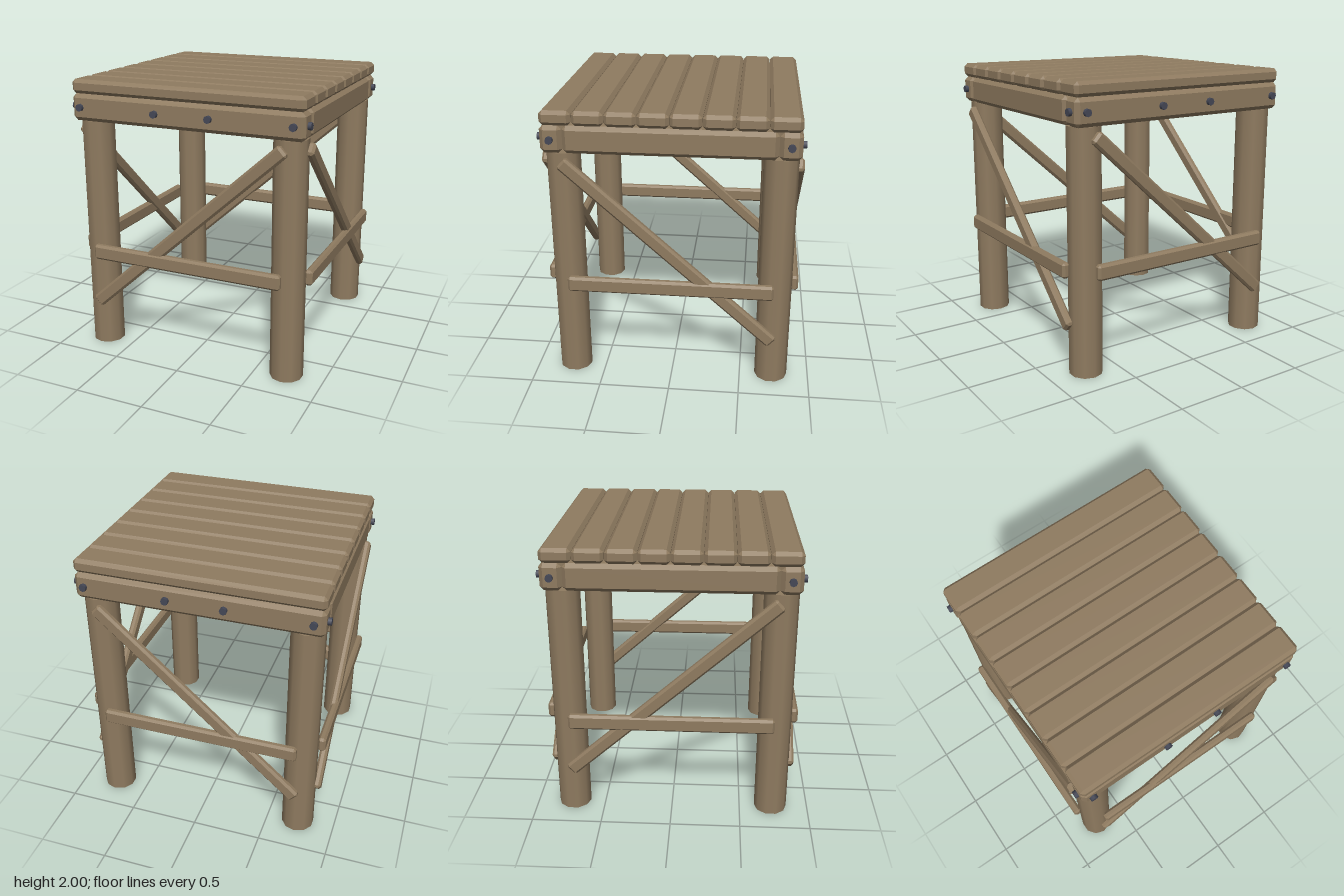
import * as THREE from 'three';
import { ConvexGeometry } from 'three/addons/geometries/ConvexGeometry.js';

const wood = new THREE.MeshStandardMaterial({ color: 0x8f7b60 });
wood.name = 'wood';
const iron = new THREE.MeshStandardMaterial({ color: 0x454856 });
iron.name = 'iron';

// Box with every edge chamfered by c
function chamferBox(w, h, d, c) {
  const points = [];
  const [x, y, z] = [w / 2, h / 2, d / 2];
  for (const sx of [-1, 1]) for (const sy of [-1, 1]) for (const sz of [-1, 1]) {
    points.push(
      new THREE.Vector3(sx * x, sy * (y - c), sz * (z - c)),
      new THREE.Vector3(sx * (x - c), sy * y, sz * (z - c)),
      new THREE.Vector3(sx * (x - c), sy * (y - c), sz * z),
    );
  }
  return new ConvexGeometry(points);
}

function add(parent, name, geometry, material, x, y, z) {
  const mesh = new THREE.Mesh(geometry, material);
  mesh.name = name;
  mesh.position.set(x, y, z);
  parent.add(mesh);
  return mesh;
}

export function createModel() {
  const table = new THREE.Group();
  table.name = 'woodenTable';

  // Round log legs
  const legGeo = new THREE.CylinderGeometry(0.118, 0.118, 1.71, 10);
  for (const sx of [-1, 1]) for (const sz of [-1, 1]) {
    add(table, 'leg', legGeo, wood, sx * 0.728, 0.855, sz * 0.728);
  }

  // Top planks running side to side
  const plankGeo = chamferBox(1.715, 0.1, 0.212, 0.024);
  for (let i = 0; i < 8; i++) {
    add(table, 'topPlank', plankGeo, wood, 0, 1.95, (i - 3.5) * 0.2135);
  }

  // Frame beams under the top
  const longBeam = chamferBox(1.715, 0.19, 0.15, 0.028);
  const sideBeam = chamferBox(0.15, 0.19, 1.415, 0.028);
  for (const s of [-1, 1]) {
    add(table, 'longBeam', longBeam, wood, 0, 1.805, s * 0.782);
    add(table, 'sideBeam', sideBeam, wood, s * 0.782, 1.805, 0);
  }
  add(table, 'middleBeam', chamferBox(1.415, 0.19, 0.15, 0.028), wood, 0, 1.805, 0);

  // Rails and diagonal braces, the same set on each pair of opposite sides
  const railGeo = chamferBox(1.44, 0.11, 0.056, 0.016);
  const braceGeo = chamferBox(1.945, 0.095, 0.056, 0.016);
  const boltGeo = new THREE.CylinderGeometry(0.026, 0.026, 0.05, 8);
  boltGeo.rotateX(Math.PI / 2);
  for (const turn of [0, Math.PI / 2]) {
    const pair = new THREE.Group();
    pair.name = turn ? 'leftAndRightSides' : 'frontAndBackSides';
    pair.rotation.y = turn;
    for (const s of [-1, 1]) {
      add(pair, 'rail', railGeo, wood, 0, 0.75, s * 0.863);
      const brace = add(pair, 'brace', braceGeo, wood, 0, 1.0, s * 0.854);
      // Upper end toward +x on front and back, toward +z on the sides
      brace.rotation.z = (turn ? -1 : 1) * 0.735;

      // Bolt heads
      const places = turn ? [-0.785, 0.785] : [-0.785, -0.2, 0.2, 0.785];
      for (const x of places) add(pair, 'bolt', boltGeo, iron, x, 1.807, s * 0.857);
    }
    table.add(pair);
  }
  return table;
}
